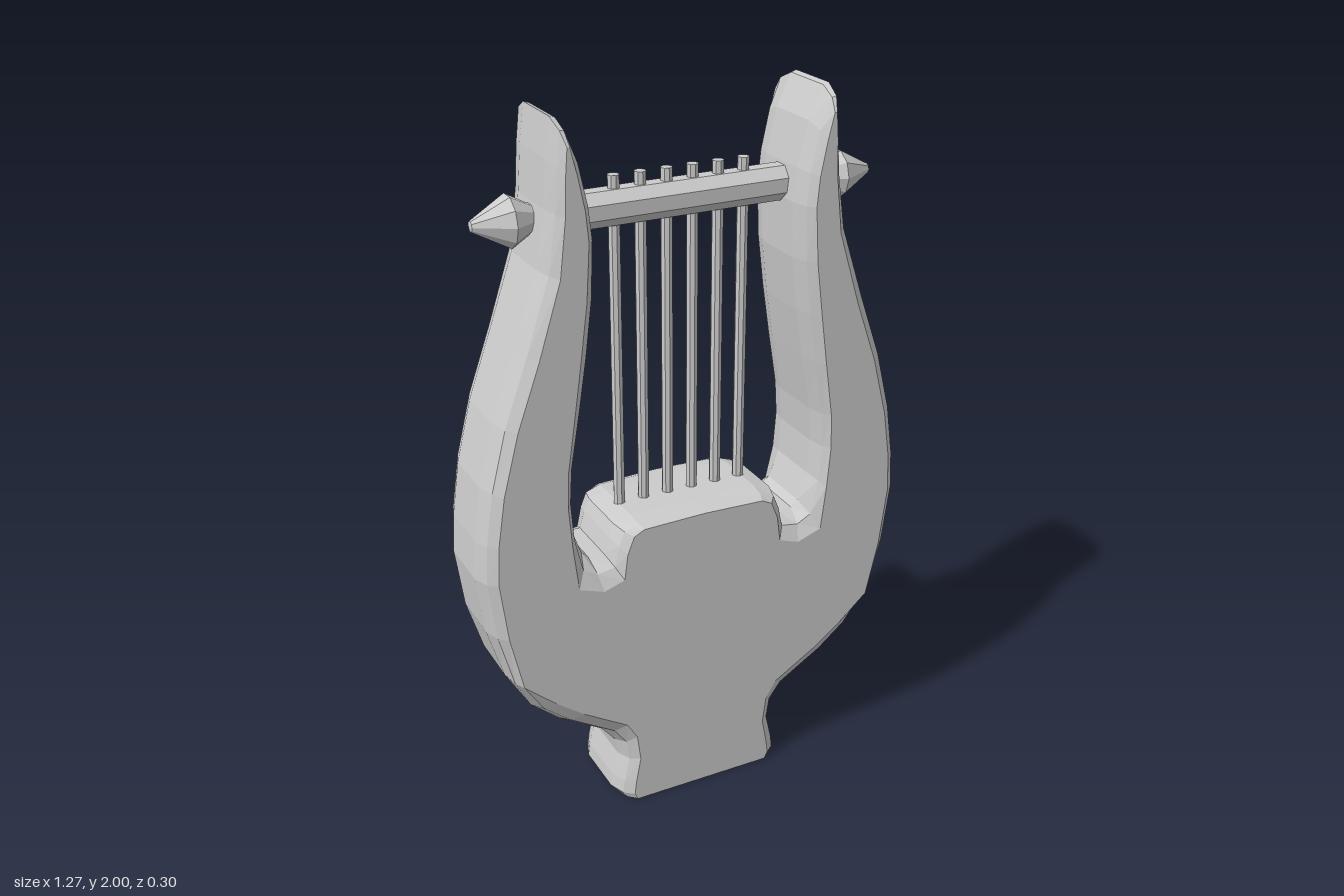
import * as THREE from 'three';

const material = new THREE.MeshStandardMaterial({ color: 0xcccccc, flatShading: true, roughness: 0.8 });

// Right half of the frame: silhouette x, y, then the matching crease x, y on the face
const half = [
  [0, 0, 0, 0], [0.25, 0, 0.21, 0], [0.265, 0.02, 0.22, 0.02], [0.26, 0.06, 0.215, 0.06],
  [0.242, 0.13, 0.2, 0.14], [0.25, 0.18, 0.21, 0.22], [0.29, 0.23, 0.24, 0.27],
  [0.42, 0.31, 0.37, 0.35], [0.5, 0.38, 0.45, 0.41], [0.57, 0.5, 0.54, 0.49],
  [0.615, 0.65, 0.575, 0.65], [0.637, 0.82, 0.595, 0.82], [0.63, 0.93, 0.59, 0.93],
  [0.608, 1.08, 0.568, 1.07], [0.565, 1.25, 0.523, 1.24], [0.5, 1.43, 0.458, 1.42],
  [0.43, 1.63, 0.395, 1.62], [0.405, 1.78, 0.377, 1.77], [0.395, 1.9, 0.373, 1.87],
  [0.382, 2.0, 0.367, 1.94], [0.366, 1.995, 0.36, 1.94], [0.325, 1.91, 0.343, 1.87],
  [0.298, 1.79, 0.325, 1.78], [0.288, 1.7, 0.318, 1.7], [0.292, 1.55, 0.328, 1.55],
  [0.31, 1.4, 0.348, 1.4], [0.333, 1.26, 0.368, 1.26], [0.362, 1.1, 0.392, 1.1],
  [0.37, 1.0, 0.396, 1.0], [0.363, 0.9, 0.387, 0.88], [0.335, 0.82, 0.372, 0.75],
  [0.315, 0.8, 0.3, 0.725], [0.27, 0.8, 0.24, 0.745], [0.255, 0.85, 0.23, 0.82],
  [0.24, 0.885, 0.21, 0.87], [0.19, 0.9, 0.18, 0.885], [0, 0.9, 0, 0.89],
];

// Frame: rings of the outline from front crease to back crease, closed by two faces
function frameGeometry() {
  const mirrored = half.slice(1, -1).reverse().map(([x, y, u, v]) => [-x, y, -u, v]);
  const outline = [...half, ...mirrored];
  const n = outline.length;
  const layers = [[1, 0.15], [0.4, 0.128], [0, 0.08], [0, -0.08], [0.4, -0.128], [1, -0.15]];
  const positions = [], index = [];
  for (const [t, z] of layers) {
    for (const [x, y, u, v] of outline) {
      positions.push(x + (u - x) * t, y + (v - y) * t, z);
    }
  }
  for (let k = 0; k < layers.length - 1; k++) {
    for (let i = 0; i < n; i++) {
      const j = (i + 1) % n;
      const a = k * n + i, b = a + n, c = (k + 1) * n + j, d = k * n + j;
      index.push(a, b, c, a, c, d);
    }
  }
  const back = (layers.length - 1) * n;
  const contour = outline.map(p => new THREE.Vector2(p[2], p[3]));
  for (const [a, b, c] of THREE.ShapeUtils.triangulateShape(contour, [])) {
    index.push(a, b, c, back + a, back + c, back + b);
  }
  const geometry = new THREE.BufferGeometry();
  geometry.setAttribute('position', new THREE.Float32BufferAttribute(positions, 3));
  geometry.setIndex(index);
  const flat = geometry.toNonIndexed();
  flat.computeVertexNormals();
  return flat;
}

export function createModel() {
  const group = new THREE.Group();
  const add = (name, geometry, x = 0, y = 0) => {
    const mesh = new THREE.Mesh(geometry, material);
    mesh.name = name;
    mesh.position.set(x, y, 0);
    group.add(mesh);
    return mesh;
  };

  add('frame', frameGeometry());

  // Crossbar between the arms
  const barY = 1.735;
  const bar = new THREE.CylinderGeometry(0.05, 0.05, 0.7, 8);
  bar.rotateY(Math.PI / 8).rotateZ(Math.PI / 2);
  add('crossbar', bar, 0, barY);

  // Pointed knobs outside the arms
  const profile = [[0, 0.36], [0.034, 0.36], [0.037, 0.41], [0.068, 0.465], [0.014, 0.562], [0, 0.566]];
  for (const side of [1, -1]) {
    const knob = new THREE.LatheGeometry(profile.map(p => new THREE.Vector2(...p)), 10);
    knob.rotateZ(-side * Math.PI / 2);
    add(side > 0 ? 'leftKnob' : 'rightKnob', knob, 0, barY);
  }

  // Six strings from the body through the crossbar
  const string = new THREE.CylinderGeometry(0.016, 0.016, 0.945, 8);
  for (let i = 0; i < 6; i++) {
    add(`string${i + 1}`, string, (i - 2.5) * 0.0735, 1.3425);
  }
  return group;
}
